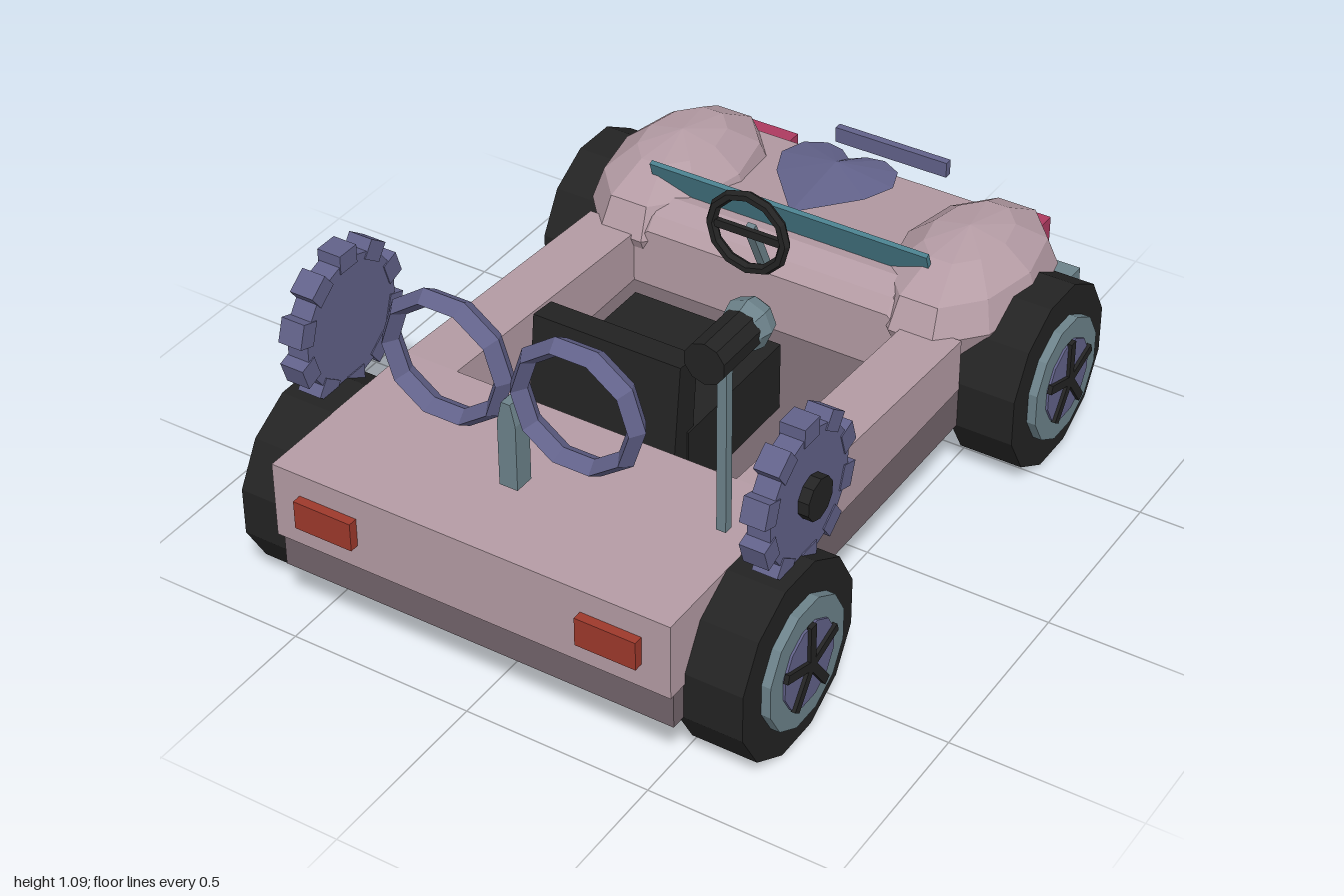
import * as THREE from 'three';

const mat = (name, color) => Object.assign(new THREE.MeshStandardMaterial({ color }), { name });

export function createModel() {
  const model = new THREE.Group();
  model.name = 'buggy';

  const body = mat('mauve paint', 0xb59ca5);
  const dark = mat('dark mauve', 0x73646b);
  const black = mat('black rubber', 0x232323);
  const steel = mat('grey steel', 0x6d838b);
  const purple = mat('dusty purple', 0x62628a);
  const glass = mat('teal glass', 0x4a7f8d);
  const red = mat('tail red', 0x9e392c);
  const pink = mat('lamp pink', 0xad3a60);

  // Faceted mesh helper
  const add = (name, geo, material, x = 0, y = 0, z = 0, parent = model) => {
    const g = geo.index ? geo.toNonIndexed() : geo;
    g.computeVertexNormals();
    const m = new THREE.Mesh(g, material);
    m.name = name;
    m.position.set(x, y, z);
    parent.add(m);
    return m;
  };
  const box = (w, h, d) => new THREE.BoxGeometry(w, h, d);
  // Cylinder lying along x
  const disc = (r, w, n) => new THREE.CylinderGeometry(r, r, w, n).rotateY(Math.PI / n).rotateZ(-Math.PI / 2);
  // Side profile given as [z, y], extruded along x
  const profile = (pts, width) =>
    new THREE.ExtrudeGeometry(new THREE.Shape(pts.map(p => new THREE.Vector2(...p))), { depth: width, bevelEnabled: false })
      .translate(0, 0, -width / 2).rotateY(-Math.PI / 2);

  // Chassis, rear deck, sills
  add('chassis', box(1.086, 0.12, 1.842), dark, 0, 0.24, 0.036);
  add('rearDeck', box(1.094, 0.207, 0.525), body, 0, 0.3835, 0.7125);
  for (const s of [1, -1]) {
    add('sideSill', profile([[0.45, 0.295], [0.45, 0.487], [-0.36, 0.443], [-0.36, 0.295]], 0.152), body, s * 0.47, 0, 0);
  }

  // Hood, narrowing toward the nose
  const hood = profile([[-0.33, 0.29], [-0.33, 0.465], [-0.36, 0.5], [-0.42, 0.525],
    [-0.91, 0.455], [-0.972, 0.29], [-0.88, 0.27]], 1.08);
  const hp = hood.attributes.position;
  for (let i = 0; i < hp.count; i++) {
    const y = hp.getY(i), z = hp.getZ(i);
    if (z < -0.95) hp.setX(i, hp.getX(i) * 0.89);
    else if (z < -0.9) hp.setX(i, hp.getX(i) * 0.8);
    else if (y > 0.45) hp.setX(i, hp.getX(i) * 0.65);
  }
  add('hood', hood, body);

  // Front fenders
  for (const s of [1, -1]) {
    add('frontFender', new THREE.SphereGeometry(1, 10, 6).scale(0.2, 0.165, 0.315), body, s * 0.425, 0.435, -0.615);
  }

  // Wheels with rim, hub cap and five spokes
  for (const z of [0.675, -0.605]) {
    for (const s of [1, -1]) {
      const wheel = new THREE.Group();
      wheel.name = 'wheel';
      wheel.position.set(s * 0.612, 0.245, z);
      wheel.rotation.y = s > 0 ? 0 : Math.PI;
      model.add(wheel);
      add('tyre', disc(0.25, 0.172, 12), black, 0, 0, 0, wheel);
      add('rim', disc(0.168, 0.06, 12), steel, 0.08, 0, 0, wheel);
      add('hubCap', disc(0.112, 0.02, 12), purple, 0.106, 0, 0, wheel);
      for (let i = 0; i < 5; i++) {
        const spoke = add('spoke', box(0.012, 0.115, 0.024).translate(0, 0.0575, 0), black, 0.119, 0, 0, wheel);
        spoke.rotation.x = (i * Math.PI * 2) / 5;
      }
    }
  }

  // Lamps, bumper, grille bar
  for (const s of [1, -1]) {
    add('tailLamp', box(0.162, 0.078, 0.035), red, s * 0.39, 0.386, 0.9825);
    add('headLamp', box(0.168, 0.072, 0.05), pink, s * 0.382, 0.386, -0.972);
  }
  add('frontBumper', box(1.12, 0.077, 0.075), steel, 0, 0.257, -0.9605);
  add('noseBar', box(0.336, 0.044, 0.022), purple, 0, 0.477, -0.983);

  // Windshield leaning back
  const shield = add('windshield', box(0.81, 0.105, 0.014), glass, 0, 0.553, -0.448);
  shield.rotation.x = 0.33;

  // Faceted heart ornament: rim fanned to an upper and a lower centre
  const half = [[0, -0.745], [0.035, -0.775], [0.085, -0.785], [0.14, -0.755], [0.165, -0.685], [0.13, -0.6], [0, -0.45]];
  const rim = [...half, ...half.slice(1, -1).reverse().map(([x, z]) => [-x, z])];
  const tri = [];
  rim.forEach(([ax, az], i) => {
    const [bx, bz] = rim[(i + 1) % rim.length];
    const a = [ax, 0.58, az], b = [bx, 0.58, bz];
    tri.push(...b, ...a, 0, 0.607, -0.68, ...a, ...b, 0, 0.53, -0.68);
  });
  const heart = new THREE.BufferGeometry();
  heart.setAttribute('position', new THREE.Float32BufferAttribute(tri, 3));
  add('heartOrnament', heart, purple);

  // Seat
  add('seatCushion', box(0.42, 0.19, 0.42), black, 0, 0.395, 0.155);
  add('seatBack', profile([[0.425, 0.4], [0.345, 0.4], [0.318, 0.685], [0.392, 0.692]], 0.41), black);
  add('seatPanel', profile([[0.345, 0.49], [0.335, 0.49], [0.304, 0.665], [0.325, 0.665]], 0.32), dark);

  // Steering wheel and column
  add('steeringRing', new THREE.TorusGeometry(0.106, 0.015, 6, 12), black, 0, 0.635, -0.245);
  add('steeringSpoke', box(0.2, 0.022, 0.014), black, 0, 0.635, -0.245);
  const column = add('steeringColumn', box(0.024, 0.19, 0.024), steel, 0, 0.56, -0.295);
  column.rotation.x = 0.45;

  // Twin rings on a pointed post
  for (const s of [1, -1]) {
    add('rearRing', new THREE.TorusGeometry(0.157, 0.023, 4, 10).scale(1, 1, 1.55), purple, s * 0.177, 0.81, 0.772);
  }
  const post = new THREE.Shape([[-0.025, 0.53], [0.025, 0.53], [0.025, 0.71], [0.012, 0.767], [-0.012, 0.767], [-0.025, 0.71]]
    .map(p => new THREE.Vector2(...p)));
  add('ringPost', new THREE.ExtrudeGeometry(post, { depth: 0.055, bevelEnabled: false }), steel, 0, 0, 0.745);

  // Side gears with ten teeth
  for (const s of [1, -1]) {
    const gear = new THREE.Group();
    gear.name = 'gear';
    gear.position.set(s * 0.632, 0.638, 0.578);
    model.add(gear);
    add('gearDisc', disc(0.172, 0.06, 20), purple, 0, 0, 0, gear);
    for (let i = 0; i < 10; i++) {
      const tooth = add('gearTooth', box(0.066, 0.05, 0.064).translate(0, 0.174, 0), purple, 0, 0, 0, gear);
      tooth.rotation.x = (i * Math.PI) / 5;
    }
    add('gearHub', disc(0.055, 0.04, 10), black, s * 0.038, 0, 0, gear);
  }

  // Microphone on a pole
  add('micPole', box(0.025, 0.47, 0.025), steel, 0.486, 0.755, 0.655);
  add('micHandle', new THREE.CylinderGeometry(0.053, 0.053, 0.15, 10).rotateX(Math.PI / 2), black, 0.486, 1.027, 0.665);
  add('micHead', new THREE.SphereGeometry(0.063, 8, 6).rotateX(Math.PI / 2), steel, 0.486, 1.027, 0.562);

  return model;
}
